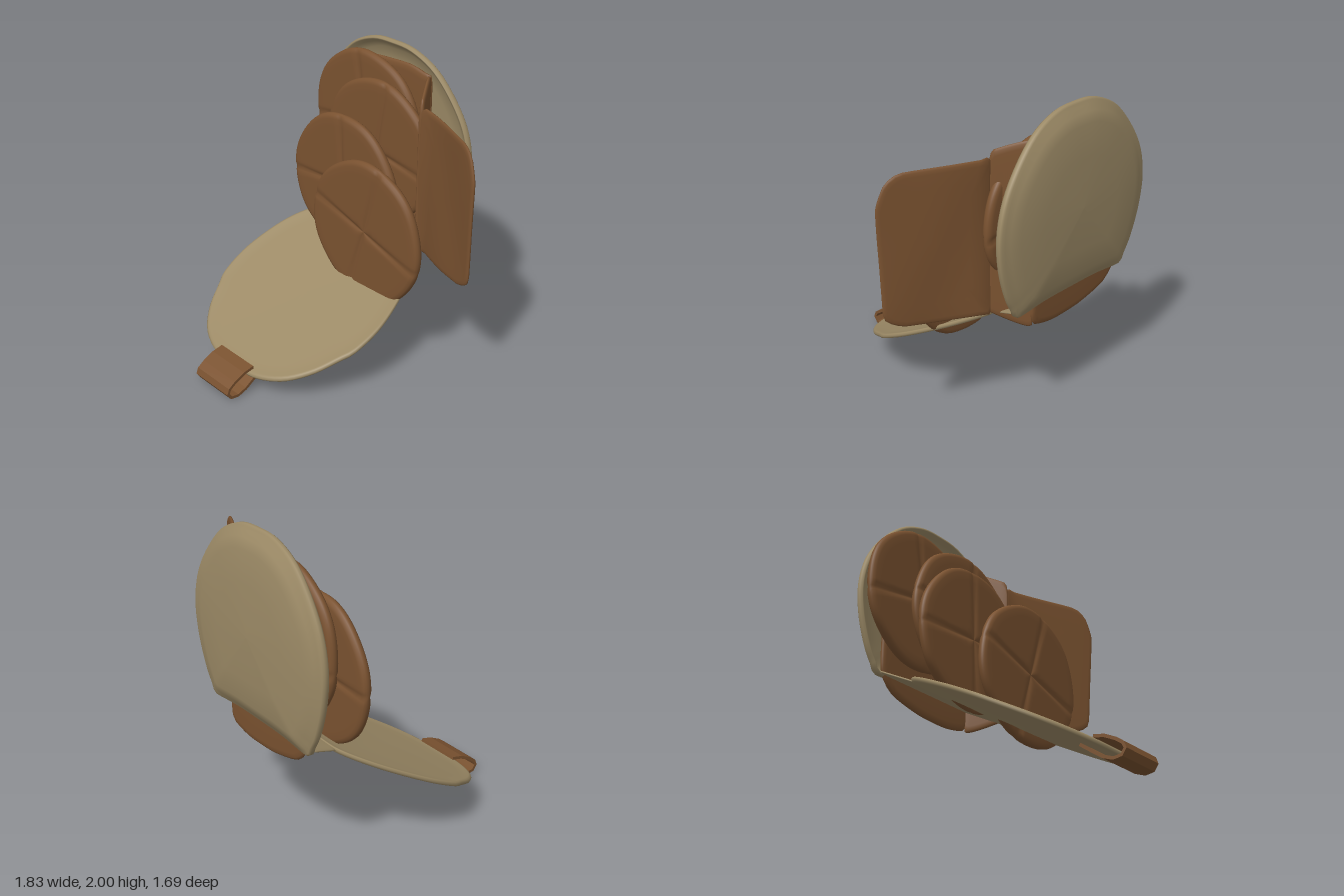
import * as THREE from 'three';

const beige = new THREE.MeshStandardMaterial({ color: 0x9c8a66, side: THREE.DoubleSide });
beige.name = 'beigeLeather';
const brown = new THREE.MeshStandardMaterial({ color: 0x7a5230, side: THREE.DoubleSide });
brown.name = 'brownLeather';

// Smooth closed outline through a few points, counter-clockwise
function outlineOf(points, n, tension = 0.5) {
  const curve = new THREE.CatmullRomCurve3(
    points.map(([x, y]) => new THREE.Vector3(x, y, 0)), true, 'catmullrom', tension);
  return curve.getSpacedPoints(n).slice(0, n);
}

// Half outline [dx, y] on the +x side, from top to bottom, mirrored about x = cx
function mirrored(half, cx) {
  const right = half.map(([d, y]) => [cx + d, y]).reverse();
  const left = half.filter(([d]) => d > 0).map(([d, y]) => [cx - d, y]);
  return [...right, ...left];
}

// Skin over scaled copies of an outline: rings are [scale, w] from front centre round to back centre
function loft(name, material, outline, centre, rings, place) {
  const n = outline.length, pos = [], index = [];
  rings.forEach(([s, w], i) => {
    outline.forEach((p, j) => {
      const u = centre[0] + (p.x - centre[0]) * s;
      const v = centre[1] + (p.y - centre[1]) * s;
      pos.push(...place(u, v, w, s));
      if (i === rings.length - 1) return;
      const a = i * n + j, b = i * n + (j + 1) % n;
      if (rings[i + 1][0] > 0) index.push(a, a + n, b + n);
      if (s > 0) index.push(a, b + n, b);
    });
  });
  const g = new THREE.BufferGeometry();
  g.setAttribute('position', new THREE.Float32BufferAttribute(pos, 3));
  g.setIndex(index);
  g.computeVertexNormals();
  const m = new THREE.Mesh(g, material);
  m.name = name;
  return m;
}

// Rings of a thin slab with a rounded rim
function slab(t, steps = 5) {
  const front = [];
  for (let i = 0; i <= steps; i++) front.push([0.93 * i / steps, t]);
  front.push([0.975, t * 0.8], [0.995, t * 0.4]);
  const back = front.map(([s, w]) => [s, -w]).reverse();
  return [...front, [1, 0], ...back];
}

// Round padded pocket with two crossing stitched creases
function disc(name, cx, cy, z, r, angle, seed) {
  const pts = [];
  for (let i = 0; i < 120; i++) {
    const a = i / 120 * Math.PI * 2;
    const k = r * (1 + 0.008 * Math.sin(3 * a + seed) + 0.006 * Math.sin(7 * a + seed * 2));
    pts.push(new THREE.Vector3(cx + Math.cos(a) * k, cy + Math.sin(a) * k, 0));
  }
  const c = Math.cos(angle), s = Math.sin(angle);
  return loft(name, brown, pts, [cx, cy], slab(0.033, 9), (x, y, w) => {
    const dx = x - cx, dy = y - cy;
    const p = dx * c + dy * s, q = dy * c - dx * s;
    const d = Math.min(Math.abs(p), Math.abs(q));
    return [x, y, z + w * (1 - 0.35 * Math.exp(-((d / 0.018) ** 2)))];
  });
}

// Open strap: a ribbon of given thickness along [z, y] points, extruded along x
function strap(name, points, thick, x0, x1) {
  const p = points.map(([z, y]) => new THREE.Vector2(-z, y));
  const side = k => p.map((q, i) => {
    const d = p[Math.min(i + 1, p.length - 1)].clone().sub(p[Math.max(i - 1, 0)]).normalize();
    return new THREE.Vector2(q.x - d.y * k, q.y + d.x * k);
  });
  const shape = new THREE.Shape([...side(thick / 2), ...side(-thick / 2).reverse()]);
  const g = new THREE.ExtrudeGeometry(shape, { depth: x1 - x0, bevelEnabled: false });
  g.rotateY(Math.PI / 2).translate(x0, 0, 0);
  const m = new THREE.Mesh(g, brown);
  m.name = name;
  return m;
}

export function createModel() {
  const group = new THREE.Group();
  const cx = -0.235;

  // Shallow back shell, hollow towards the front
  const shellOutline = outlineOf(mirrored([
    [0, 2.0], [0.18, 1.985], [0.37, 1.9], [0.53, 1.74], [0.64, 1.56], [0.685, 1.36],
    [0.665, 1.15], [0.6, 0.95], [0.53, 0.83], [0.5, 0.79], [0.25, 0.8], [0, 0.8],
  ], cx), 96);
  group.add(loft('backShell', beige, shellOutline, [cx, 1.36], [
    [0, -0.82], [0.4, -0.818], [0.75, -0.805], [0.88, -0.785], [0.94, -0.75], [0.97, -0.725],
    [0.985, -0.722], [1, -0.735], [1, -0.755], [0.985, -0.768], [0.95, -0.772],
    [0.9, -0.8], [0.8, -0.822], [0.5, -0.84], [0, -0.847],
  ], (x, y, w, s) => [x, y, w - 0.025 * s * ((x - cx) / 0.685) ** 2 * (s > 0.9 ? 1 : 0.3)]));

  // Round lid, sloping down to the front
  const lidY = z => 0.452 - 0.496 * z;
  const lidOutline = outlineOf(mirrored([
    [0, 0.52], [0.25, 0.52], [0.42, 0.515], [0.54, 0.41], [0.63, 0.24], [0.685, 0],
    [0.67, -0.2], [0.62, -0.3], [0.53, -0.45], [0.39, -0.58], [0.2, -0.655], [0, -0.665],
  ], cx), 96);
  group.add(loft('lid', beige, lidOutline, [cx, -0.05], [
    [0, -0.004], [0.5, -0.002], [0.85, 0.004], [0.94, 0.01], [0.97, 0.017], [0.99, 0.015],
    [1, 0.002], [0.99, -0.014], [0.97, -0.017], [0.92, -0.018], [0.5, -0.026], [0, -0.028],
  ], (u, v, w) => [u, lidY(-v) + w, -v]));

  // Hinge strip between shell and lid
  const hingeOutline = outlineOf([[-0.64, 0.5], [0.18, 0.5], [0.265, 0.735], [-0.735, 0.735]], 48, 0);
  group.add(loft('hinge', beige, hingeOutline, [cx, 0.62], slab(0.01, 2),
    (u, v, w) => [u, 0.7 + (v - 0.5) * 0.45 + w, -v]));

  // Folded inner cover: back panel, spine and opened front panel
  const backOutline = outlineOf([
    [-0.6, 0.7], [-0.35, 0.64], [-0.1, 0.63], [0.06, 0.66], [0.11, 0.75], [0.11, 1.78],
    [0.08, 1.845], [-0.1, 1.88], [-0.5, 1.85], [-0.66, 1.75], [-0.71, 1.5], [-0.71, 0.85],
  ], 72, 0.3);
  group.add(loft('innerBackPanel', brown, backOutline, [-0.3, 1.25], slab(0.02),
    (x, y, w) => [x, y, -0.745 + w]));

  const spineOutline = outlineOf([[0, 0.66], [1, 0.735], [1.04, 0.8], [1.04, 1.68], [0.96, 1.775], [0, 1.84]], 64, 0.1);
  group.add(loft('innerSpine', brown, spineOutline, [0.5, 1.25], slab(0.016),
    (u, y, w) => [0.09 + 0.15 * u + w * 0.8, y, -0.74 + 0.22 * u - w * 0.6]));

  const coverOutline = outlineOf([
    [0.22, 0.75], [0.3, 0.735], [0.55, 0.75], [0.77, 0.775], [0.86, 0.82], [0.89, 0.87],
    [0.9, 1.2], [0.91, 1.54], [0.86, 1.68], [0.77, 1.735], [0.31, 1.735], [0.24, 1.7],
  ], 72, 0.2);
  group.add(loft('openedFrontPanel', brown, coverOutline, [0.57, 1.25], slab(0.013),
    (x, y, w) => [x - 0.38 * w, y,
      -0.525 + Math.max(0, x - 0.3) * 0.41 + 0.92 * w + 0.006 * Math.sin(x * 9 + y * 4)]));

  // Four overlapping padded discs
  group.add(
    disc('rearDisc', -0.425, 1.4, -0.702, 0.489, 0.17, 1),
    disc('secondDisc', -0.165, 1.305, -0.557, 0.485, -0.15, 2),
    disc('thirdDisc', -0.29, 1.075, -0.373, 0.484, 0.06, 3.2),
    disc('frontDisc', 0.085, 0.922, -0.205, 0.482, -0.28, 4.5),
  );

  // Closing loop on the lid edge
  group.add(strap('closingLoop', [
    [0.625, 0.17], [0.7, 0.155], [0.775, 0.12], [0.82, 0.088], [0.833, 0.055], [0.81, 0.02],
    [0.755, 0.012], [0.69, 0.035], [0.61, 0.088], [0.535, 0.14],
  ], 0.02, -0.403, -0.077));

  return group;
}
